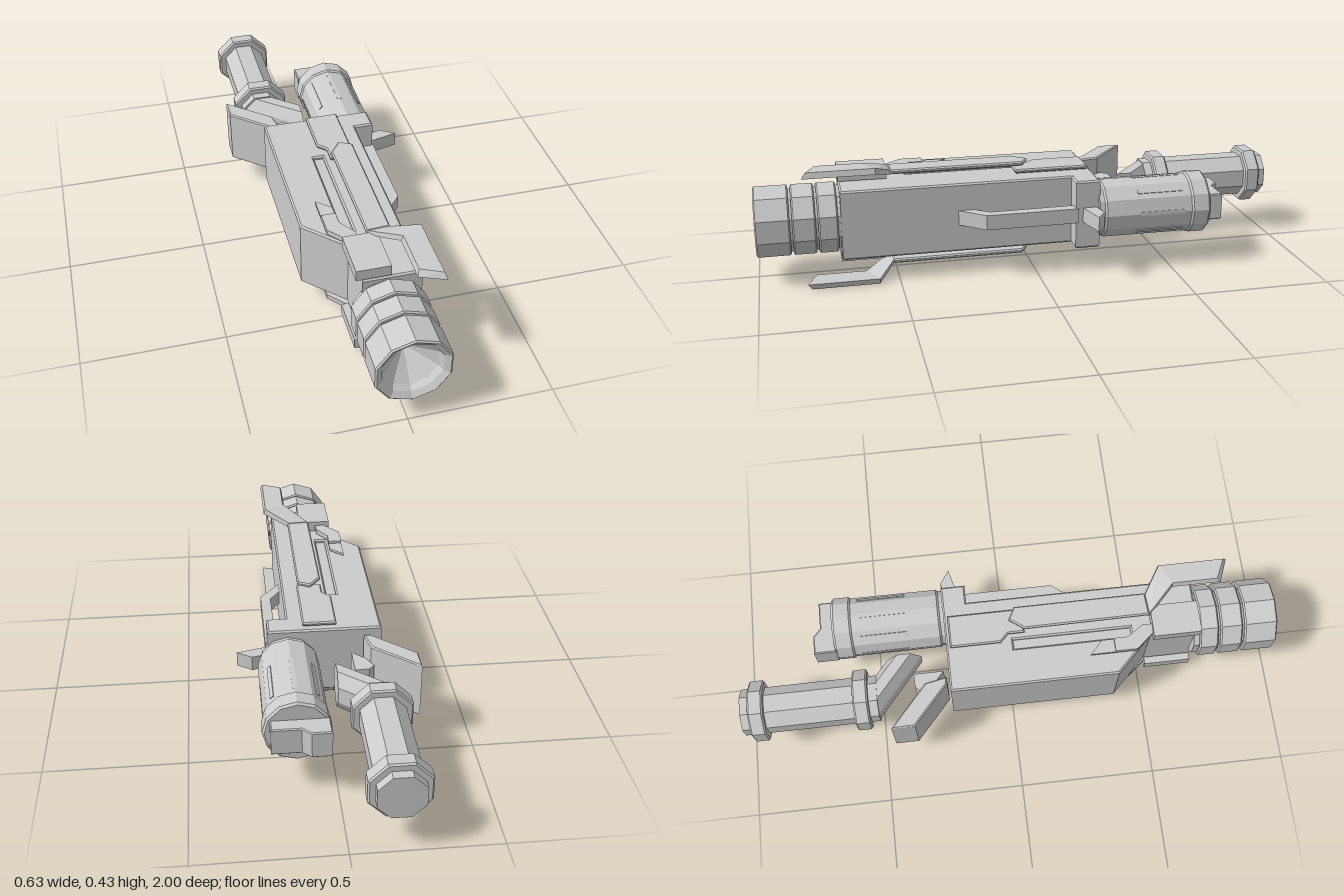
import * as THREE from 'three';
import { ConvexGeometry } from 'three/addons/geometries/ConvexGeometry.js';

const MID = 0.219; // height of the long axis

export function createModel() {
  const model = new THREE.Group();
  model.name = 'device';
  const grey = new THREE.MeshStandardMaterial({ color: 0xcccccc, flatShading: true });
  grey.name = 'grey metal';

  const add = (name, geometry) => {
    const mesh = new THREE.Mesh(geometry, grey);
    mesh.name = name;
    model.add(mesh);
    return mesh;
  };
  // Outline in x,z extruded upward from y0 to y1
  const toPoints = (pts) => pts.map(([x, z]) => new THREE.Vector2(x, z));
  const plate = (name, pts, y0, y1, bevel = 0, hole = null) => {
    const shape = new THREE.Shape(toPoints(pts));
    if (hole) shape.holes.push(new THREE.Path(toPoints(hole)));
    const g = new THREE.ExtrudeGeometry(shape, {
      depth: y1 - y0 - 2 * bevel, bevelEnabled: bevel > 0, bevelSize: bevel,
      bevelThickness: bevel, bevelOffset: -bevel, bevelSegments: 1,
    });
    g.rotateX(Math.PI / 2).translate(0, y1 - bevel, 0);
    return add(name, g);
  };
  const rect = (x0, x1, z0, z1) => [[x0, z0], [x1, z0], [x1, z1], [x0, z1]];
  const hull = (name, pts) => add(name, new ConvexGeometry(pts.map((p) => new THREE.Vector3(...p))));
  // Turned part along z; profile is [radius, z] from back to front
  const turned = (name, profile, sides, x, spin = 0) => {
    const g = new THREE.LatheGeometry(profile.map(([r, z]) => new THREE.Vector2(r, z)), sides);
    g.rotateY(spin).rotateX(Math.PI / 2).translate(x, MID, 0);
    return add(name, g);
  };

  // Main housing, with a tapered nose and a rear side ledge
  const outline = [
    [-0.205, -0.23], [0.202, -0.23], [0.202, -0.14], [0.132, -0.14],
    [0.132, 0.7], [-0.072, 0.7], [-0.072, 0.52], [-0.205, 0.385],
  ];
  plate('housing', outline, 0.102, 0.336);

  // Ringed muzzle with a conical mouth
  const ring = (z0, z1) => [
    [0.12, z0], [0.128, z0], [0.133, z0 + 0.005], [0.133, z1 - 0.005], [0.128, z1], [0.12, z1],
  ];
  turned('muzzle', [
    [0, 0.69], [0.12, 0.69], ...ring(0.71, 0.78), ...ring(0.788, 0.87), ...ring(0.878, 1).slice(0, -2),
    [0.127, 1], [0.106, 0.985], [0.096, 0.965], [0, 0.88],
  ], 10, 0.013);

  // Parts repeated on the upper and lower faces
  for (const s of [1, -1]) {
    const side = s > 0 ? 'upper' : 'lower';
    const Y = (y) => (s > 0 ? y : 2 * MID - y);
    const slab = (name, pts, a, b, ...rest) =>
      plate(side + name, pts, Math.min(Y(a), Y(b)), Math.max(Y(a), Y(b)), ...rest);

    // Housing skin with a sunken slot
    slab('Skin', outline, 0.32, 0.348, 0.006, rect(-0.069, -0.033, 0.016, 0.449));
    slab('RearPanel', [
      [-0.045, -0.215], [0.077, -0.215], [0.077, 0.06], [-0.015, 0.06], [-0.015, 0], [-0.045, -0.03],
    ], 0.354, 0.369, 0.005);
    slab('FrontBlock', rect(-0.095, 0.025, 0.525, 0.7), 0.353, 0.393);
    slab('BracketArm', [[-0.13, 0.29], [-0.08, 0.335], [-0.08, 0.39], [-0.13, 0.39]], 0.358, 0.367);
    slab('BracketBase', [
      [-0.13, 0.38], [-0.08, 0.38], [-0.08, 0.43], [-0.04, 0.49], [-0.04, 0.53], [-0.07, 0.53], [-0.13, 0.46],
    ], 0.358, 0.377);

    // Long strip that bends outward into a raised, bevelled fin
    slab('Strip', [
      [-0.013, 0.06], [0.028, 0.005], [0.075, 0.03], [0.075, 0.515], [-0.01, 0.52],
    ], 0.382, 0.398, 0.005);
    const section = (x0, z0, x1, z1, a, b, inset, back) => [
      [x0, Y(a), z0], [x1, Y(a), z1], [x0 + inset, Y(b), z0 - back], [x1 - inset, Y(b), z1 - back],
    ];
    const root = section(-0.012, 0.52, 0.075, 0.515, 0.382, 0.398, 0.006, 0);
    const bend = section(0.08, 0.615, 0.168, 0.575, 0.415, 0.436, 0.007, 0);
    const tip = section(0.08, 0.795, 0.168, 0.83, 0.415, 0.436, 0.007, 0.015);
    hull(side + 'FinSlope', [...root, ...bend]);
    hull(side + 'Fin', [...bend, ...tip]);
  }

  // Side handle and rear spike
  plate('sideHandle', [
    [0.165, -0.15], [0.207, -0.15], [0.207, 0.19], [0.128, 0.285], [0.128, 0.23], [0.17, 0.17],
  ], 0.192, 0.247);
  plate('sideSpike', [
    [0.195, -0.215], [0.26, -0.23], [0.313, -0.195], [0.195, -0.165],
  ], 0.192, 0.247);

  // Angled rear vane and its bracket
  plate('rearVane', [
    [-0.313, -0.455], [-0.155, -0.32], [-0.14, -0.24], [-0.165, -0.24], [-0.313, -0.37],
  ], 0.115, 0.324, 0.005);
  plate('vaneBracket', [
    [-0.165, -0.34], [-0.145, -0.36], [-0.095, -0.362], [-0.095, -0.25], [-0.14, -0.29],
  ], 0.18, 0.258);

  // Short wide canister with ribs, collar and end block
  turned('canister', [
    [0, -0.645], [0.11, -0.645], [0.117, -0.637], [0.117, -0.58], [0.111, -0.573],
    [0.11, -0.25], [0.104, -0.243], [0.104, -0.225], [0, -0.225],
  ], 12, 0.131);
  for (let i = 0; i < 8; i++) {
    const a = (i * Math.PI) / 4;
    const rib = add('canisterRib', new THREE.BoxGeometry(0.016, 0.012, 0.18));
    rib.position.set(0.131 + 0.104 * Math.sin(a), MID + 0.104 * Math.cos(a), -0.46);
    rib.rotation.z = -a;
  }
  plate('canisterEndBlock', [
    [0.022, -0.722], [0.09, -0.722], [0.12, -0.695], [0.222, -0.695], [0.222, -0.64], [0.022, -0.64],
  ], 0.17, 0.27, 0.004);

  // Long eight-sided tube with two collars
  const collar = (z) => [[0.085, z], [0.106, z], [0.112, z + 0.006], [0.112, z + 0.05], [0.106, z + 0.056], [0.085, z + 0.056]];
  turned('rearTube', [
    [0, -1], [0.085, -1], ...collar(-0.968), ...collar(-0.588), [0.085, -0.5], [0, -0.5],
  ], 8, -0.16, Math.PI / 8);

  // Slanted elbow leading from the tube, cut off flat at its inner end
  const elbow = [];
  for (let i = 0; i < 8; i++) {
    const a = ((i + 0.5) * Math.PI) / 4;
    const x = -0.16 + 0.08 * Math.sin(a), y = MID + 0.08 * Math.cos(a), end = -0.025;
    elbow.push([x, y, -0.505], [end, y, -0.505 + (end - x) * 0.85]);
  }
  hull('tubeElbow', elbow);

  return model;
}
